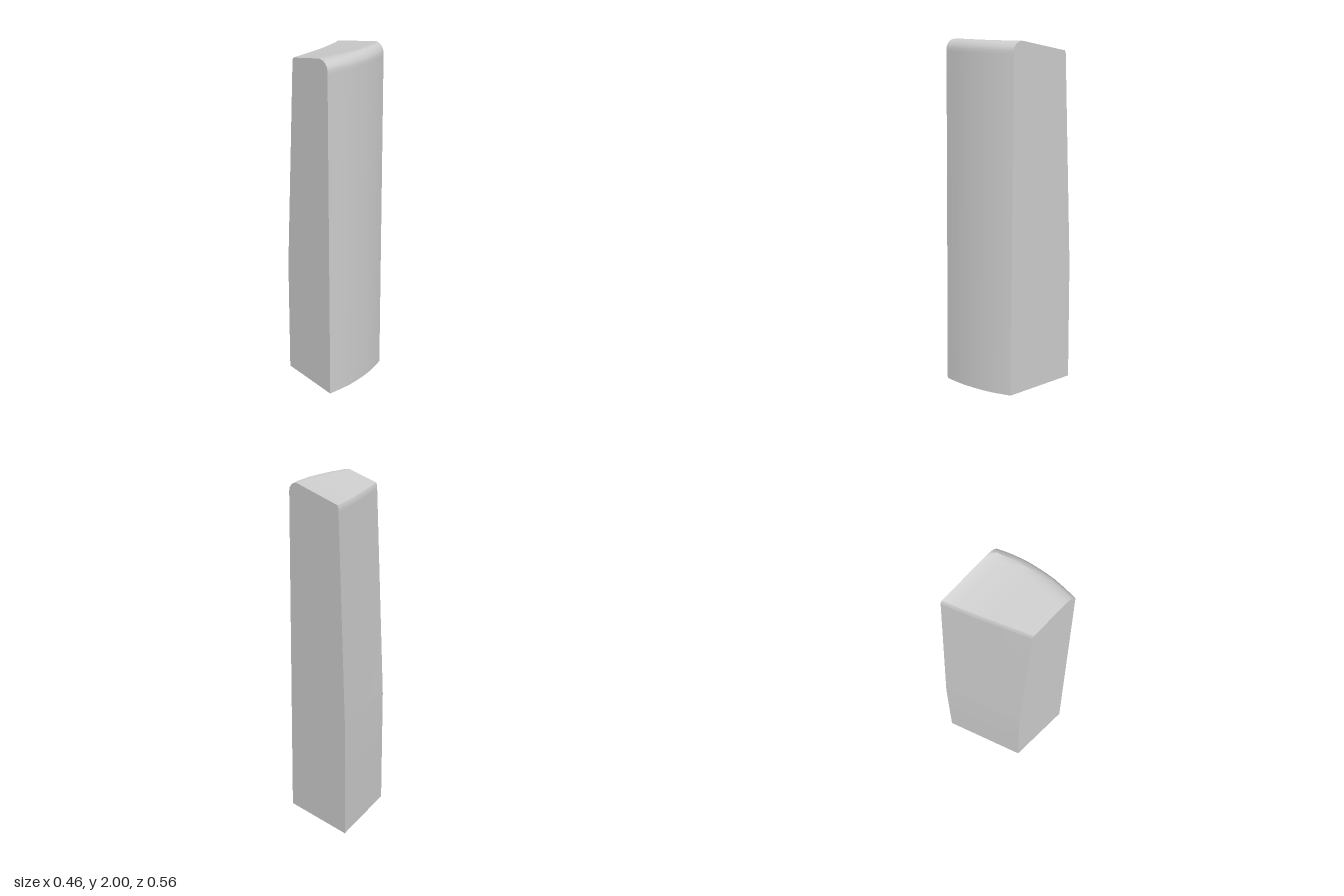
import * as THREE from 'three';
import { toCreasedNormals } from 'three/addons/utils/BufferGeometryUtils.js';

// Stations across the width: x, z of the front foot, z of the crest
const stations = [
  [-0.23, 0.277, 0.19], [-0.16, 0.278, 0.19], [-0.09, 0.277, 0.19],
  [-0.02, 0.268, 0.19], [0.05, 0.255, 0.187], [0.1, 0.242, 0.172],
  [0.15, 0.225, 0.157], [0.2, 0.205, 0.14], [0.23, 0.191, 0.112],
];

// Side outline [z, y] at one station: up the front, over the crest, down the back
function outline([x, front, crest]) {
  const t = (x + 0.23) / 0.46;
  const foot = THREE.MathUtils.lerp(-0.113, -0.28, t); // slanted back, below the kink
  const rim = THREE.MathUtils.lerp(-0.042, -0.228, t); // slanted back, at the top
  const rimY = 2 - 0.19 * (crest - rim - 0.008);
  return [
    [front, 0], [front - 0.0215, 1.93], [front - 0.022, 1.95],
    [front - 0.027, 1.968], [front - 0.042, 1.986], [front - 0.056, 1.994],
    [crest, 2], [crest - 0.03, 1.995],
    [rim + 0.02, rimY + 0.002], [rim + 0.008, rimY],
    [rim, rimY - 0.015], [rim - 0.001, rimY - 0.035],
    [foot + 0.001, 0.72], [foot, 0.7], [foot, 0],
  ];
}

// Skin the outlines together and close both sides with fans
function loftGeometry() {
  const positions = [];
  const index = [];
  const rings = stations.map(outline);
  const n = rings[0].length;
  rings.forEach((ring, i) => ring.forEach(([z, y]) => positions.push(stations[i][0], y, z)));

  for (let i = 0; i < rings.length - 1; i++) {
    for (let j = 0; j < n; j++) {
      const k = (j + 1) % n;
      const a = i * n + j, b = a + n, c = (i + 1) * n + k, d = i * n + k;
      index.push(a, b, c, a, c, d);
    }
  }

  for (const i of [0, rings.length - 1]) {
    const centre = positions.length / 3;
    positions.push(stations[i][0], 1, 0.06);
    for (let j = 0; j < n; j++) {
      const a = i * n + j, b = i * n + (j + 1) % n;
      if (i === 0) index.push(centre, a, b);
      else index.push(centre, b, a);
    }
  }

  const geometry = new THREE.BufferGeometry();
  geometry.setAttribute('position', new THREE.Float32BufferAttribute(positions, 3));
  geometry.setIndex(index);
  return toCreasedNormals(geometry, 0.6);
}

export function createModel() {
  const group = new THREE.Group();
  group.name = 'taperedBlock';
  const body = new THREE.Mesh(loftGeometry(), new THREE.MeshStandardMaterial({ color: 0xcccccc }));
  body.name = 'body';
  group.add(body);
  return group;
}
